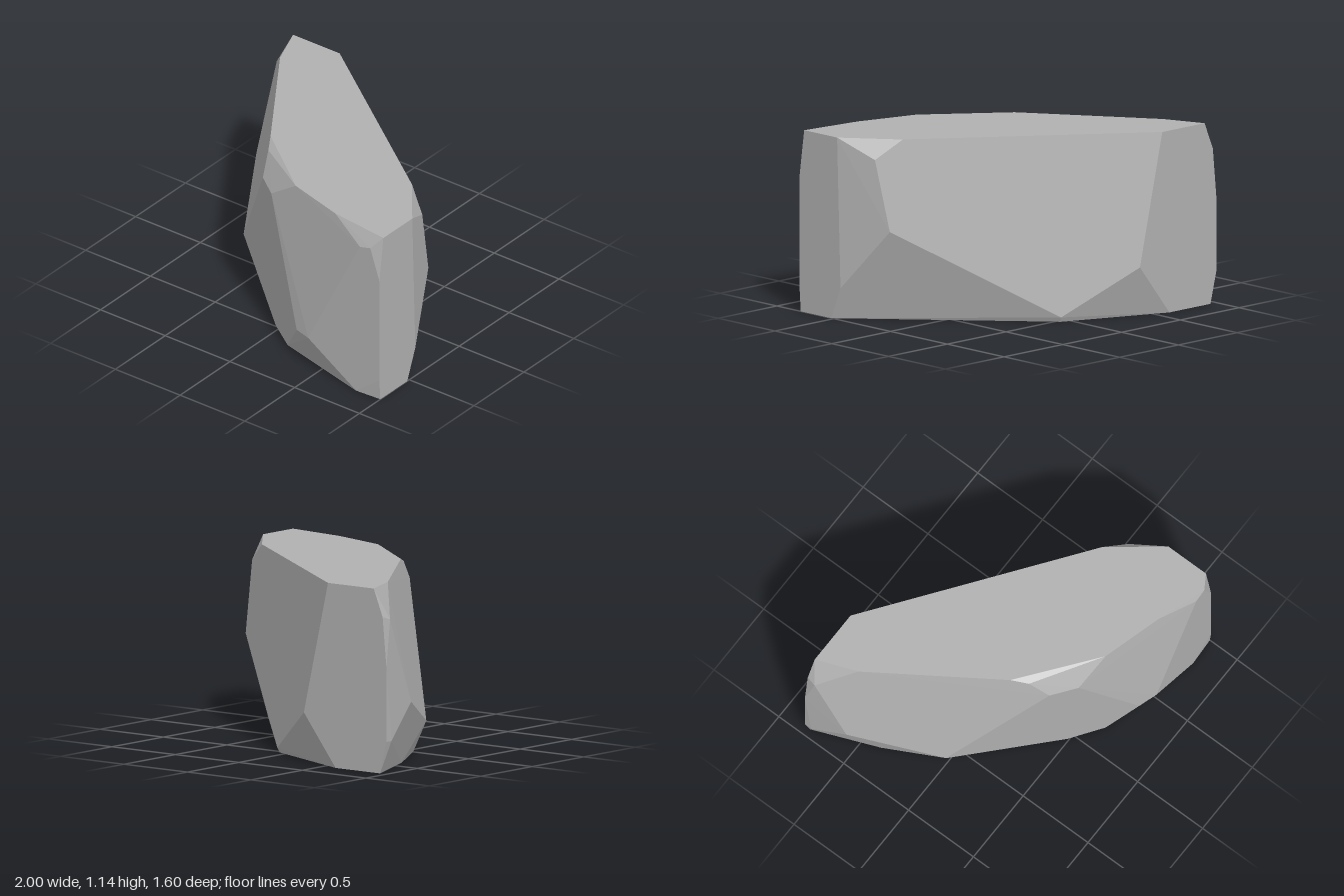
import * as THREE from 'three';
import { ConvexGeometry } from 'three/addons/geometries/ConvexGeometry.js';

const TOP = 1.14;

// Corners of the faceted boulder, grouped by region, as [x, y, z]
const corners = [
  // flat top
  [-0.9, TOP, -0.8], [-0.54, TOP, -0.8], [0.75, TOP, 0.15], [1, TOP, 0.47], [1, TOP, 0.76],
  [0.59, TOP, 0.71], [0.2, TOP, 0.6], [-0.28, TOP, 0.23], [-0.8, TOP, -0.54],
  // front facets
  [-0.22, 1.11, 0.33], [-0.17, 0.99, 0.45], [-0.02, 0.985, 0.56],
  [0.33, 0.235, 0.76], [0.45, 0.24, 0.8], [0.85, 1.04, 0.8], [0.93, 1.06, 0.8],
  [-0.65, 0.2, 0.02], [-0.63, 0.16, 0.02], [-0.96, 0.41, -0.51],
  // +x end
  [1, 0.85, 0.8], [1, 0.14, 0.8], [1, 0.2, 0.44], [0.9, 1.02, 0.24], [0.87, 0.58, 0.14],
  // back facets
  [-0.35, 0.32, -0.8], [0.07, 0.03, -0.54],
  // -x end
  [-0.97, 0.97, -0.8], [-0.98, 0.95, -0.74], [-1, 0.66, -0.8], [-1, 0.2, -0.75], [-1, 0.2, -0.8],
  // flat underside
  [-0.95, 0, -0.8], [-0.6, 0, -0.8], [0.06, 0, -0.53], [1, 0, 0.52], [1, 0, 0.79],
  [0.82, 0, 0.8], [0.16, 0, 0.63], [-0.04, 0, 0.49], [-0.4, 0, 0.15], [-0.78, 0, -0.38],
  [-0.62, 0.015, -0.07],
];

export function createModel() {
  const group = new THREE.Group();
  group.name = 'rock';

  const stone = new THREE.MeshStandardMaterial({ color: 0xb0b0b0 });
  stone.name = 'grey stone';

  // The hull over the corners gives flat, hard-edged facets
  const geometry = new ConvexGeometry(corners.map((c) => new THREE.Vector3(...c)));
  const boulder = new THREE.Mesh(geometry, stone);
  boulder.name = 'boulder';
  group.add(boulder);
  return group;
}
